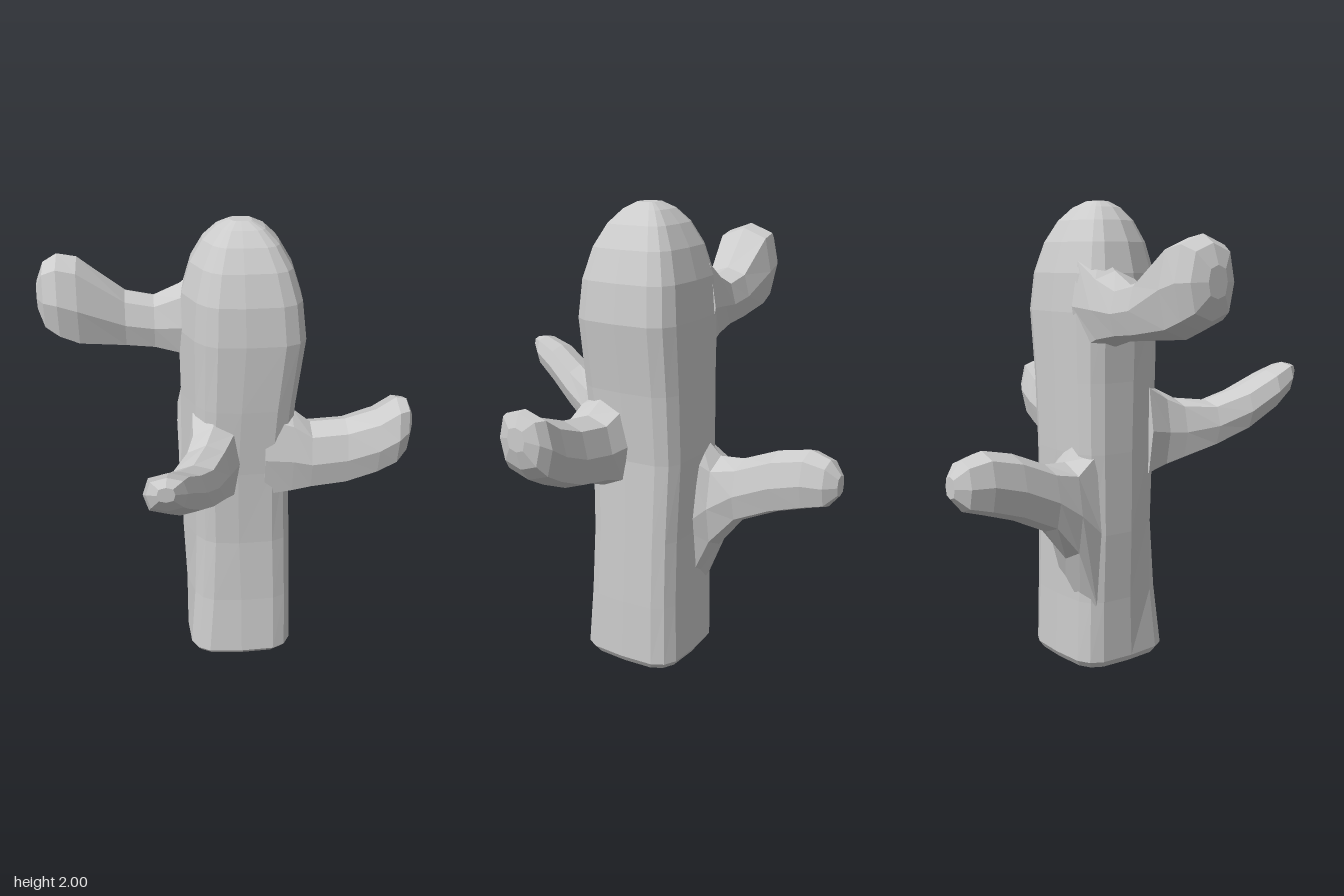
import * as THREE from 'three';

const material = new THREE.MeshStandardMaterial({ color: 0xcccccc, flatShading: true });
const power = (v, e) => Math.sign(v) * Math.pow(Math.abs(v), e);

// Skin closed rings of points and close both ends with a fan.
function loft(name, rings) {
  const n = rings[0].length, pos = [], index = [];
  rings.forEach(r => r.forEach(p => pos.push(p.x, p.y, p.z)));
  for (let i = 0; i < rings.length - 1; i++) {
    for (let j = 0; j < n; j++) {
      const a = i * n + j, b = i * n + (j + 1) % n;
      index.push(a, b, b + n, a, b + n, a + n);
    }
  }
  [0, rings.length - 1].forEach((i, end) => {
    const c = new THREE.Vector3();
    rings[i].forEach(p => c.addScaledVector(p, 1 / n));
    const centre = pos.length / 3;
    pos.push(c.x, c.y, c.z);
    for (let j = 0; j < n; j++) {
      const a = i * n + j, b = i * n + (j + 1) % n;
      if (end) index.push(a, b, centre);
      else index.push(b, a, centre);
    }
  });
  const geometry = new THREE.BufferGeometry();
  geometry.setAttribute('position', new THREE.Float32BufferAttribute(pos, 3));
  geometry.setIndex(index);
  geometry.computeVertexNormals();
  const mesh = new THREE.Mesh(geometry, material);
  mesh.name = name;
  return mesh;
}

// Rounded rectangle around a centre, each point placed in space.
function ring(sides, round, [d, pc, qc, ph, qh], turn, place) {
  return Array.from({ length: sides }, (_, k) => {
    const t = turn * k / sides * Math.PI * 2;
    const u = power(Math.cos(t), round), v = power(Math.sin(t), round);
    return place(d, pc + u * ph, qc + v * qh, u, v, qh);
  });
}

// Round off the last row towards a tip point, along a quarter ellipse.
function withDome(rows, tip, degrees) {
  const last = rows[rows.length - 1];
  const dome = degrees.map(deg => {
    const a = THREE.MathUtils.degToRad(deg);
    return last.map((v, i) => i < 3 ? v + (tip[i] - v) * Math.sin(a) : v * Math.cos(a));
  });
  return [...rows, ...dome];
}

// Rows: distance outward, side centre, height centre, half width, half height
function arm(name, turn, place, tip, rows) {
  return loft(name, withDome(rows, tip, [38, 70]).map(row => ring(8, 0.72, row, turn, place)));
}

// Rounded square trunk; its front right corner is pulled in above the foot
function trunk() {
  // Rows: height, z centre, x centre, half depth, half width
  const rows = [
    [0, -0.025, 0.055, 0.215, 0.22],
    [0.03, -0.022, 0.055, 0.238, 0.24],
    [0.3, -0.03, 0.053, 0.222, 0.238],
    [0.6, -0.035, 0.042, 0.215, 0.24],
    [0.95, -0.035, 0.035, 0.225, 0.235],
    [1.25, -0.025, 0.047, 0.235, 0.243],
    [1.54, -0.021, 0.063, 0.241, 0.263],
  ];
  const place = (y, z, x, u, v, half) => {
    const pull = 0.32 * half * Math.min(1, y / 0.6) * Math.max(0, u) * Math.max(0, -v);
    return new THREE.Vector3(x + pull, y, z);
  };
  return loft('trunk', withDome(rows, [2.007, -0.02, 0.055], [20, 38, 54, 68, 80])
    .map(row => ring(16, 0.5, row, 1, place)));
}

export function createModel() {
  const cactus = new THREE.Group();
  cactus.name = 'cactus';
  cactus.add(trunk());

  // Left arm, curving gently upward
  cactus.add(arm('leftArm', -1, (d, s, y) => new THREE.Vector3(d, y, s), [0.78, 0.125, 1.16], [
    [0.15, 0.07, 1.02, 0.13, 0.23],
    [0.27, 0.08, 1.015, 0.13, 0.195],
    [0.35, 0.095, 1.0, 0.12, 0.15],
    [0.5, 0.108, 1.02, 0.117, 0.145],
    [0.63, 0.12, 1.07, 0.125, 0.14],
    [0.71, 0.125, 1.12, 0.125, 0.145],
  ]));

  // Right arm, high up with a swollen end
  cactus.add(arm('rightArm', 1, (d, s, y) => new THREE.Vector3(-d, y, s), [0.785, -0.11, 1.675], [
    [0.08, -0.115, 1.565, 0.145, 0.235],
    [0.19, -0.12, 1.555, 0.13, 0.155],
    [0.3, -0.128, 1.543, 0.108, 0.113],
    [0.42, -0.13, 1.56, 0.11, 0.12],
    [0.61, -0.108, 1.645, 0.143, 0.19],
    [0.69, -0.105, 1.67, 0.14, 0.18],
  ]));

  // Front arm, slanting to the right
  cactus.add(arm('frontArm', 1, (d, s, y) => new THREE.Vector3(s, y, d), [0.86, -0.277, 1.25], [
    [0.1, -0.055, 1.02, 0.125, 0.24],
    [0.2, -0.07, 1.005, 0.11, 0.185],
    [0.28, -0.105, 1.0, 0.1, 0.145],
    [0.42, -0.163, 1.022, 0.103, 0.108],
    [0.56, -0.223, 1.083, 0.108, 0.098],
    [0.7, -0.265, 1.165, 0.097, 0.088],
  ]));

  // Back arm, with a long web running down the trunk
  cactus.add(arm('backArm', -1, (d, s, y) => new THREE.Vector3(s, y, -d), [0.86, -0.092, 0.89], [
    [0.2, -0.05, 0.62, 0.15, 0.42],
    [0.3, -0.08, 0.71, 0.125, 0.21],
    [0.41, -0.09, 0.783, 0.115, 0.143],
    [0.57, -0.093, 0.853, 0.113, 0.138],
    [0.71, -0.095, 0.89, 0.105, 0.13],
  ]));
  return cactus;
}
